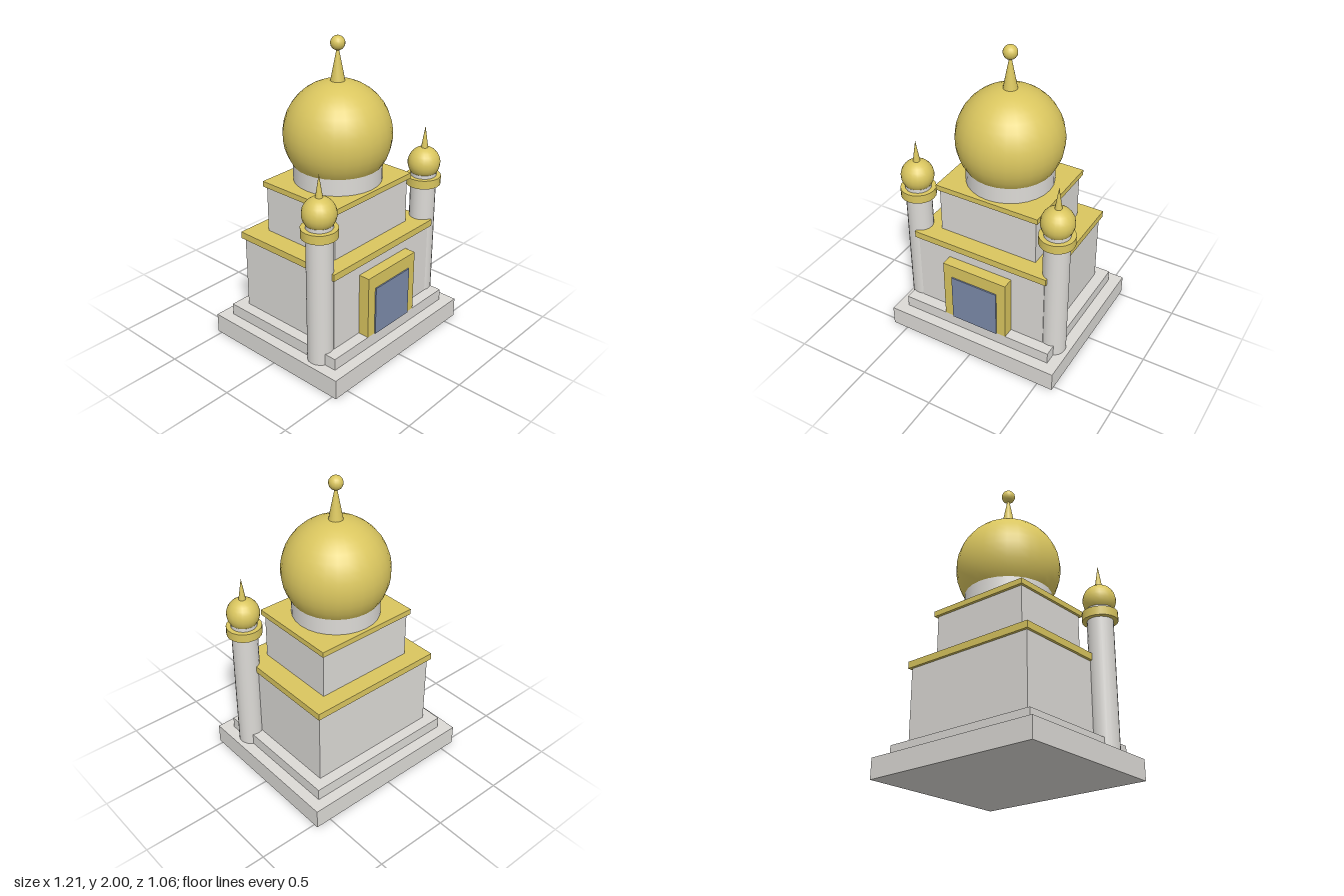
import * as THREE from 'three';

export function createModel() {
  const model = new THREE.Group();
  model.name = 'domedShrine';

  const material = (name, color) => {
    const m = new THREE.MeshStandardMaterial({ color });
    m.name = name;
    return m;
  };
  const stone = material('paleStone', 0xdcdad6);
  const gold = material('gold', 0xdac65f);
  const blue = material('slateBlue', 0x7b8aa9);

  const add = (parent, name, geometry, mat, x, y, z) => {
    const mesh = new THREE.Mesh(geometry, mat);
    mesh.name = name;
    mesh.position.set(x, y, z);
    parent.add(mesh);
    return mesh;
  };
  // Box given by half extents and its bottom and top heights
  const block = (name, hx, hz, y0, y1, mat) =>
    add(model, name, new THREE.BoxGeometry(hx * 2, y1 - y0, hz * 2), mat, 0, (y0 + y1) / 2, 0);
  const column = (parent, name, rTop, rBottom, y0, y1, sides, mat) =>
    add(parent, name, new THREE.CylinderGeometry(rTop, rBottom, y1 - y0, sides), mat, 0, (y0 + y1) / 2, 0);
  const ball = (parent, name, r, y, sides, mat) =>
    add(parent, name, new THREE.SphereGeometry(r, sides, Math.round(sides * 0.67)), mat, 0, y, 0);

  // Stepped plinth and the two storeys with their cornices
  block('plinth', 0.605, 0.53, 0, 0.132, stone);
  block('upperStep', 0.53, 0.455, 0.132, 0.21, stone);
  block('lowerStorey', 0.455, 0.38, 0.21, 0.703, stone);
  block('lowerCornice', 0.473, 0.398, 0.703, 0.748, gold);
  block('upperStorey', 0.341, 0.284, 0.748, 1.056, stone);
  block('upperCornice', 0.358, 0.303, 1.056, 1.092, gold);

  // Drum, main dome and finial
  column(model, 'drum', 0.28, 0.28, 1.092, 1.22, 28, stone);
  ball(model, 'mainDome', 0.339, 1.39, 28, gold);
  column(model, 'mainSpire', 0.003, 0.046, 1.72, 1.94, 16, gold);
  ball(model, 'finialBall', 0.045, 1.955, 16, gold);

  // Raised door frame and door on the front
  add(model, 'doorFrame', new THREE.BoxGeometry(0.45, 0.42, 0.08), gold, 0, 0.42, 0.415);
  add(model, 'door', new THREE.BoxGeometry(0.325, 0.33, 0.009), blue, 0, 0.375, 0.459);

  // Matching towers at the two front corners
  for (const side of [-1, 1]) {
    const tower = new THREE.Group();
    tower.name = side > 0 ? 'leftTower' : 'rightTower';
    tower.position.set(side * 0.492, 0, 0.302);
    column(tower, 'shaft', 0.083, 0.083, 0.01, 1.062, 20, stone);
    column(tower, 'balcony', 0.113, 0.113, 0.98, 1.038, 20, gold);
    ball(tower, 'smallDome', 0.105, 1.125, 20, gold);
    column(tower, 'smallSpire', 0, 0.023, 1.225, 1.372, 12, gold);
    model.add(tower);
  }
  return model;
}
